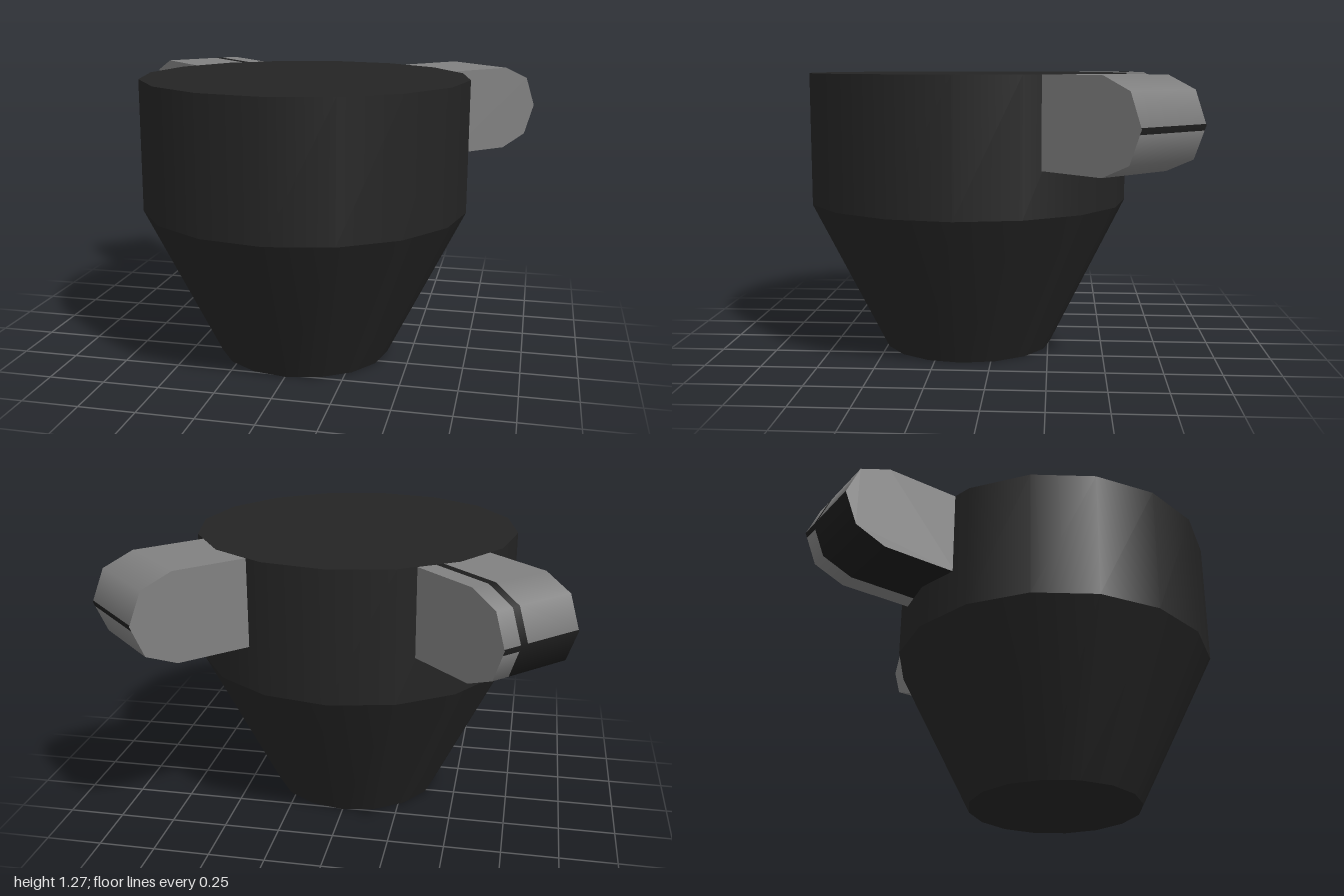
import * as THREE from 'three';

const INNER = 0.68, MID = 1.021, RAD = 0.194, HALF = 0.192; // arm start, tip centre, tip radius, half width

// Arm outline: 0 inner top, 1..5 round tip in 45 degree steps, 6 inner bottom; [x, y, normalX, normalY]
const outline = [[INNER, RAD, 0, 1]];
for (let i = 0; i <= 4; i++) {
  const a = Math.PI / 2 - i * Math.PI / 4, c = Math.cos(a), s = Math.sin(a);
  outline.push([MID + RAD * c, RAD * s, c, s]);
}
outline.push([INNER, -RAD, 0, -1]);

function outlineAt(s) {
  const i = Math.min(Math.floor(s), 5), t = s - i;
  return outline[i].map((v, k) => v + (outline[i + 1][k] - v) * t);
}

// Strip of the arm's outer skin from s0 to s1 along the outline, z0 to z1 across it
function skin(name, s0, s1, z0, z1, material) {
  const steps = [s0];
  for (let i = Math.floor(s0) + 1; i < s1; i++) steps.push(i);
  steps.push(s1);
  const pos = [], nor = [], idx = [];
  steps.forEach((s, i) => {
    const [x, y, nx, ny] = outlineAt(s);
    const n = new THREE.Vector3(nx, ny, 0).normalize();
    for (const z of [z0, z1]) {
      pos.push(x, y, z);
      nor.push(n.x, n.y, 0);
    }
    if (i) {
      const a = 2 * (i - 1);
      idx.push(a, a + 1, a + 2, a + 1, a + 3, a + 2);
    }
  });
  const g = new THREE.BufferGeometry();
  g.setAttribute('position', new THREE.Float32BufferAttribute(pos, 3));
  g.setAttribute('normal', new THREE.Float32BufferAttribute(nor, 3));
  g.setIndex(idx);
  const mesh = new THREE.Mesh(g, material);
  mesh.name = name;
  return mesh;
}

// Arm with its two flat cheeks, pointing along its own +x
function makeArm(name, angle, grey) {
  const arm = new THREE.Group();
  arm.name = name;
  const shape = new THREE.Shape(outline.map(([x, y]) => new THREE.Vector2(x, y)));
  for (const side of [1, -1]) {
    const cheek = new THREE.Mesh(new THREE.ShapeGeometry(shape), grey);
    cheek.name = 'armCheek';
    cheek.position.z = side * HALF;
    if (side < 0) {
      // mirrored cheek: reverse the corner order and the normals
      cheek.geometry.index.array.reverse();
      const n = cheek.geometry.attributes.normal;
      for (let i = 0; i < n.count; i++) n.setZ(i, -1);
    }
    arm.add(cheek);
  }
  arm.position.set(0, 1.075, 0.13);
  arm.rotation.y = angle;
  return arm;
}

export function createModel() {
  const model = new THREE.Group();
  const dark = new THREE.MeshStandardMaterial({ color: 0x242424 });
  dark.name = 'charcoal';
  const black = new THREE.MeshStandardMaterial({ color: 0x1c1c1c });
  black.name = 'black';
  const grey = new THREE.MeshStandardMaterial({ color: 0x808080 });
  grey.name = 'grey';

  // Sixteen-sided body: straight drum over a tapered base
  const drum = new THREE.Mesh(new THREE.CylinderGeometry(0.73, 0.73, 0.585, 16), dark);
  drum.name = 'drum';
  drum.position.set(0, 0.685 + 0.2925, 0.13);
  const base = new THREE.Mesh(new THREE.CylinderGeometry(0.73, 0.39, 0.685, 16), dark);
  base.name = 'taperedBase';
  base.position.set(0, 0.3425, 0.13);
  model.add(drum, base);

  // Left arm: a dark line across the tip
  const left = makeArm('leftArm', Math.PI / 4, grey);
  left.add(
    skin('upperSkin', 0, 2.96, -HALF, HALF, grey),
    skin('tipLine', 2.96, 3.15, -HALF, HALF, black),
    skin('lowerSkin', 3.15, 6, -HALF, HALF, grey)
  );

  // Right arm: a dark line along its length and a dark underside
  const right = makeArm('rightArm', 3 * Math.PI / 4, grey);
  right.add(
    skin('wideUpperSkin', 0, 2.96, -HALF, 0.075, grey),
    skin('wideLowerSkin', 2.96, 6, -HALF, 0.075, black),
    skin('lengthLine', 0, 6, 0.075, 0.11, black),
    skin('narrowUpperSkin', 0, 2.96, 0.11, HALF, grey),
    skin('narrowTipLine', 2.96, 3.15, 0.11, HALF, black),
    skin('narrowLowerSkin', 3.15, 6, 0.11, HALF, grey)
  );
  model.add(left, right);
  return model;
}
